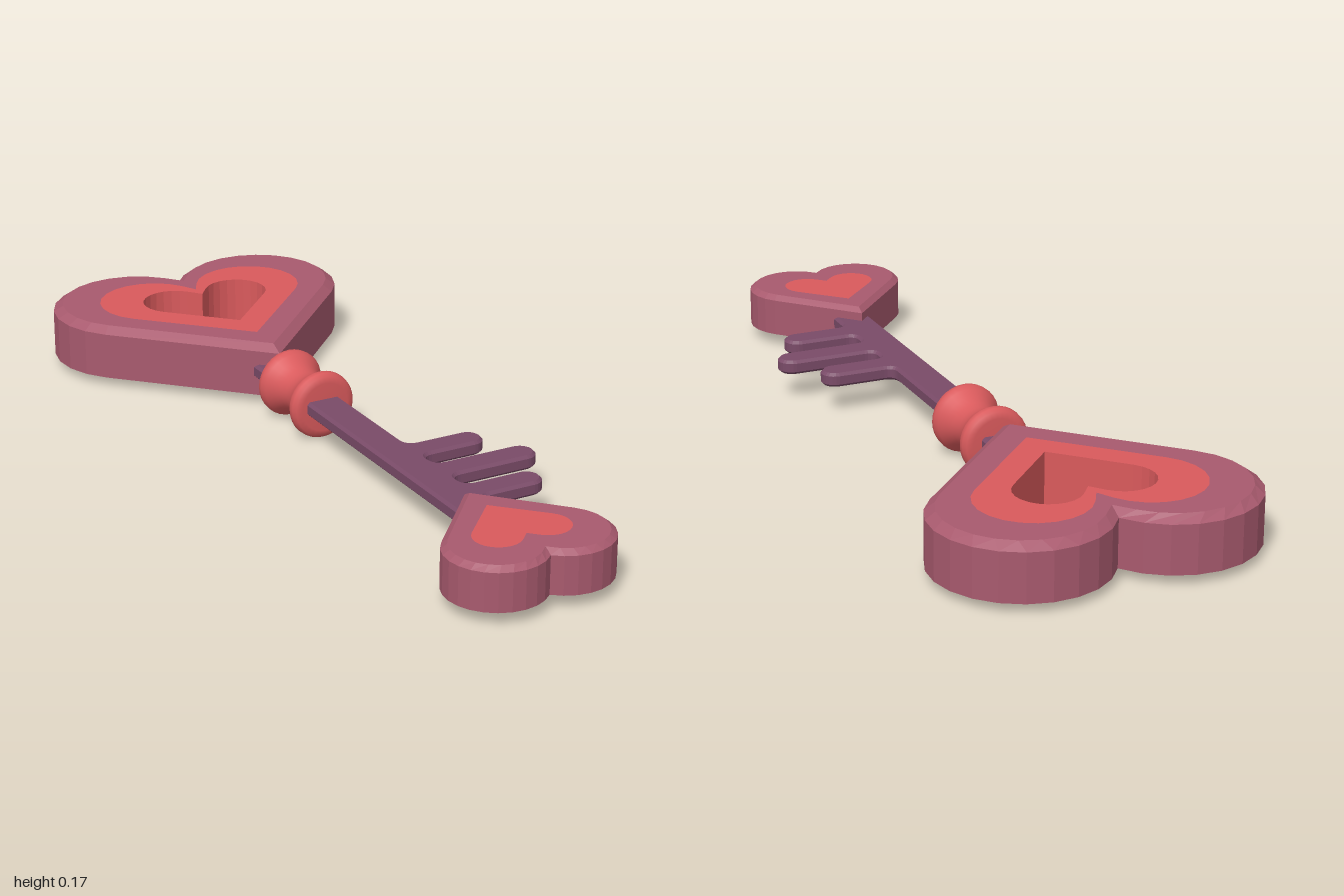
import * as THREE from 'three';

const paint = (color, flatShading = true) =>
  new THREE.MeshStandardMaterial({ color, flatShading, side: THREE.DoubleSide });
const rose = paint(0xa85a6e), red = paint(0xd95a5c), redSmooth = paint(0xd95a5c, false), plum = paint(0x7a4b68);

// Heart outline in (x, z): two lobes joined by tangent lines to a cleft and a tip.
// All distances run from the model's middle along z; dir picks the end of the key.
function heart({ x = 0, a, c, r, cleft, tip, dir }, inset = 0) {
  r -= inset;
  const t = tip + 1.41 * inset, k = cleft - 1.41 * inset, steps = 12;
  const swing = v => Math.acos(Math.min(1, r / Math.hypot(a, v - c)));
  const from = Math.atan2(t - c, -a) + swing(t), to = Math.atan2(k - c, -a) - swing(k);
  const lobe = [];
  for (let i = 0; i <= steps; i++) {
    const ang = from + (to - from) * i / steps;
    lobe.push([a + r * Math.cos(ang), c + r * Math.sin(ang)]);
  }
  const pts = [[0, t], ...lobe, [0, k], ...lobe.map(([u, v]) => [-u, v]).reverse()]
    .map(([u, v]) => new THREE.Vector2(x + u, dir * v));
  return dir < 0 ? pts.reverse() : pts;
}

// Flat face between an outline and an optional hole, looking up or down
function cap(pts, hole, y, up) {
  const s = up ? -1 : 1, turn = p => p.map(q => new THREE.Vector2(q.x, s * q.y));
  const shape = new THREE.Shape(turn(pts));
  if (hole) shape.holes.push(new THREE.Path(turn(hole)));
  return new THREE.ShapeGeometry(shape).rotateX(s * Math.PI / 2).translate(0, y, 0);
}

// Wall between two matching outlines
function wall(low, y0, high, y1, inward = false) {
  const pos = [], n = low.length;
  for (let i = 0; i < n; i++) {
    const j = (i + 1) % n;
    const A = [low[i].x, y0, low[i].y], B = [low[j].x, y0, low[j].y];
    const C = [high[i].x, y1, high[i].y], D = [high[j].x, y1, high[j].y];
    pos.push(...(inward ? [A, B, C, B, D, C] : [A, C, B, B, C, D]).flat());
  }
  const g = new THREE.BufferGeometry();
  g.setAttribute('position', new THREE.Float32BufferAttribute(pos, 3));
  g.computeVertexNormals();
  return g;
}

// Solid heart with a chamfered top rim and a coloured inlay on both faces
function heartBlock(name, outer, inlay, hole, y0, y1, chamfer, inset) {
  const g = new THREE.Group();
  g.name = name;
  const add = (part, geo, mat) => {
    const m = new THREE.Mesh(geo, mat);
    m.name = name + part;
    g.add(m);
  };
  const rim = heart(outer), top = heart(outer, inset), mid = heart(inlay);
  const inner = hole && heart(hole);
  add('Side', wall(rim, y0, rim, y1 - chamfer), rose);
  add('Chamfer', wall(rim, y1 - chamfer, top, y1), rose);
  add('Top', cap(top, mid, y1, true), rose);
  add('Bottom', cap(rim, mid, y0, false), rose);
  add('InlayTop', cap(mid, inner, y1, true), red);
  add('InlayBottom', cap(mid, inner, y0, false), red);
  if (inner) add('HoleWall', wall(inner, y0, inner, y1, true), red);
  return g;
}

// Shaft and three rounded teeth cut as one plate
function shaft() {
  const x0 = -0.05, x1 = 0.04, f = 0.026, bevel = 0.007;
  const s = new THREE.Shape();
  s.moveTo(x0, -0.355);
  s.lineTo(x1, -0.355);
  for (const [z0, z1, end] of [[0.26, 0.33, 0.22], [0.388, 0.46, 0.286], [0.52, 0.59, 0.22]]) {
    const r = (z1 - z0) / 2;
    s.lineTo(x1, z0 - f);
    s.quadraticCurveTo(x1, z0, x1 + f, z0);
    s.lineTo(end - r, z0);
    s.absarc(end - r, z0 + r, r, -Math.PI / 2, Math.PI / 2, false);
    s.lineTo(x1 + f, z1);
    s.quadraticCurveTo(x1, z1, x1, z1 + f);
  }
  s.lineTo(x1, 0.68);
  s.lineTo(x0, 0.68);
  s.closePath();
  const geo = new THREE.ExtrudeGeometry(s, {
    depth: 0.036 - 2 * bevel, bevelEnabled: true, bevelThickness: bevel,
    bevelSize: bevel, bevelOffset: -bevel, bevelSegments: 1, curveSegments: 6,
  });
  geo.rotateX(Math.PI / 2).translate(0, 0.108 - bevel, 0);
  const m = new THREE.Mesh(geo, plum);
  m.name = 'shaftWithTeeth';
  return m;
}

// Spool-shaped collar turned around the shaft
function collar() {
  const half = [[0.055, 0], [0.058, 0.022], [0.067, 0.045], [0.079, 0.064], [0.085, 0.077],
    [0.084, 0.089], [0.077, 0.098], [0.062, 0.103], [0, 0.103]];
  const profile = [...half.slice(1).reverse().map(([r, h]) => [r, -h]), ...half];
  const geo = new THREE.LatheGeometry(profile.map(p => new THREE.Vector2(...p)), 32);
  const m = new THREE.Mesh(geo.rotateX(Math.PI / 2).translate(0, 0.087, -0.173), redSmooth);
  m.name = 'collar';
  return m;
}

export function createModel() {
  const key = new THREE.Group();
  key.name = 'heartKey';
  key.add(
    heartBlock('bowHeart',
      { a: 0.18, c: 0.79, r: 0.21, cleft: 0.898, tip: 0.31, dir: -1 },
      { a: 0.14, c: 0.765, r: 0.135, cleft: 0.79, tip: 0.434, dir: -1 },
      { a: 0.09, c: 0.735, r: 0.08, cleft: 0.75, tip: 0.53, dir: -1 },
      0.025, 0.16, 0.017, 0.024),
    heartBlock('tipHeart',
      { x: -0.015, a: 0.085, c: 0.88, r: 0.12, cleft: 0.963, tip: 0.61, dir: 1 },
      { x: -0.015, a: 0.063, c: 0.85, r: 0.057, cleft: 0.867, tip: 0.704, dir: 1 },
      null, 0.035, 0.141, 0.012, 0.015),
    shaft(),
    collar(),
  );
  return key;
}
